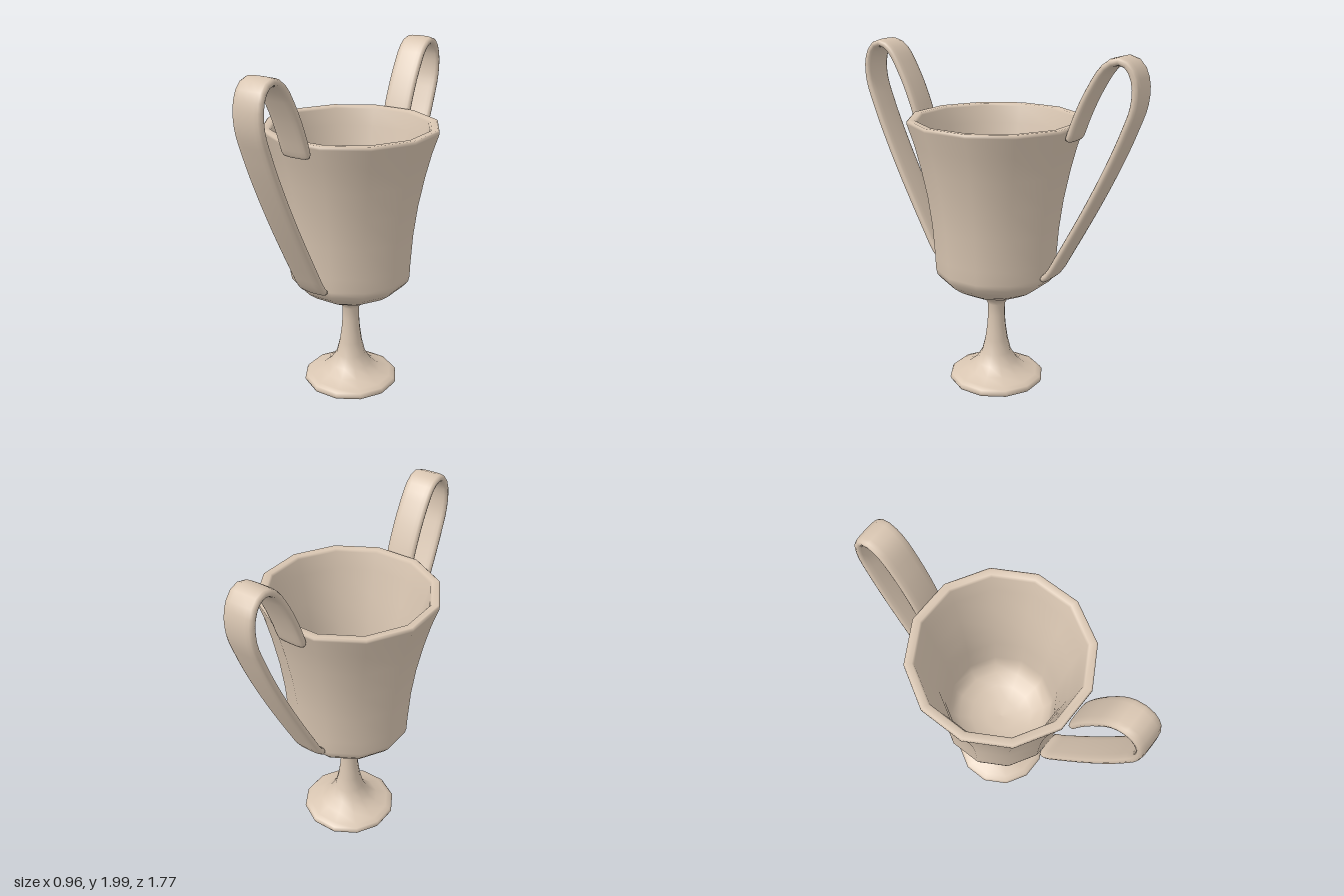
import * as THREE from 'three';

const clay = new THREE.MeshStandardMaterial({ color: 0xd8c5b1 });
clay.name = 'warm clay';

// Twelve-sided turned part; radii are given to the middle of the flats
function turned(name, profile) {
  const k = 1 / Math.cos(Math.PI / 12);
  const points = profile.map(([r, y]) => new THREE.Vector2(r * k, y));
  const mesh = new THREE.Mesh(new THREE.LatheGeometry(points, 12, Math.PI / 12), clay);
  mesh.name = name;
  mesh.position.z = -0.005;
  return mesh;
}

// Rounded flat strap swept along a curve in the y-z plane, with softened ends
function strap(curve, halfWidth, halfThick, steps = 44, sides = 16) {
  const pos = [], index = [];
  const bulge = (v) => Math.sign(v) * Math.pow(Math.abs(v), 0.6);
  const rings = [[0, 0], [0, 0.8], [0.008, 0.96]];
  for (let i = 1; i < steps; i++) rings.push([i / steps, 1]);
  rings.push([0.992, 0.96], [1, 0.8], [1, 0]);
  for (const [t, s] of rings) {
    const p = curve.getPointAt(t), d = curve.getTangentAt(t);
    for (let j = 0; j < sides; j++) {
      const a = (j / sides) * Math.PI * 2;
      const u = s && (halfWidth - (1 - s) * 0.04) * bulge(Math.cos(a));
      const v = s * halfThick * bulge(Math.sin(a));
      // across the strap is x, through it is the curve normal
      pos.push(u, p.y + d.z * v, p.z - d.y * v);
    }
  }
  for (let i = 0; i < rings.length - 1; i++) {
    for (let j = 0; j < sides; j++) {
      const a = i * sides + j, b = i * sides + (j + 1) % sides;
      index.push(a, a + sides, b, b, a + sides, b + sides);
    }
  }
  const geo = new THREE.BufferGeometry();
  geo.setAttribute('position', new THREE.Float32BufferAttribute(pos, 3));
  // keep the winding outward
  for (let i = 0; i < index.length; i += 3) [index[i + 1], index[i + 2]] = [index[i + 2], index[i + 1]];
  const a = new THREE.Vector3(), b = new THREE.Vector3(), c = new THREE.Vector3();
  let volume = 0;
  for (let i = 0; i < index.length; i += 3) {
    a.fromArray(pos, index[i] * 3);
    b.fromArray(pos, index[i + 1] * 3);
    c.fromArray(pos, index[i + 2] * 3);
    volume += a.dot(b.cross(c));
  }
  if (volume < 0) index.reverse();
  geo.setIndex(index);
  geo.computeVertexNormals();
  return geo;
}

export function createModel() {
  const group = new THREE.Group();
  group.name = 'trophyCup';

  // Foot underside, separate so its rim stays crisp
  group.add(turned('footUnderside', [[0, 0.004], [0.24, 0.004]]));

  // Foot, stem, bowl and lining in one profile
  group.add(turned('cup', [
    [0.24, 0.004], [0.265, 0.018], [0.273, 0.036], [0.262, 0.052], [0.235, 0.064],
    [0.17, 0.088], [0.12, 0.13], [0.085, 0.19], [0.066, 0.27], [0.054, 0.36],
    [0.049, 0.43], [0.05, 0.5], [0.065, 0.53], [0.1, 0.555], [0.18, 0.588],
    [0.25, 0.627], [0.305, 0.67], [0.335, 0.705], [0.343, 0.74], [0.346, 0.82],
    [0.358, 1.0], [0.38, 1.17], [0.413, 1.34], [0.447, 1.48], [0.482, 1.59],
    [0.482, 1.603], [0.474, 1.61], [0.44, 1.608], [0.43, 1.595], [0.408, 1.5],
    [0.37, 1.34], [0.335, 1.17], [0.315, 1.0], [0.302, 0.82], [0.29, 0.75],
    [0.25, 0.7], [0.18, 0.655], [0.09, 0.63], [0, 0.625],
  ]));

  // Two looping strap handles, front and back
  const path = new THREE.CatmullRomCurve3([
    [0.352, 0.738], [0.39, 0.775], [0.45, 0.88], [0.62, 1.2], [0.735, 1.44], [0.81, 1.62],
    [0.856, 1.76], [0.855, 1.88], [0.815, 1.955], [0.757, 1.975], [0.69, 1.94],
    [0.605, 1.81], [0.54, 1.67], [0.495, 1.545],
  ].map(([z, y]) => new THREE.Vector3(0, y, z)));
  const geometry = strap(path, 0.087, 0.023);
  for (const [name, turn] of [['frontHandle', 0], ['backHandle', Math.PI]]) {
    const handle = new THREE.Mesh(geometry, clay);
    handle.name = name;
    handle.rotation.y = turn;
    group.add(handle);
  }
  return group;
}
